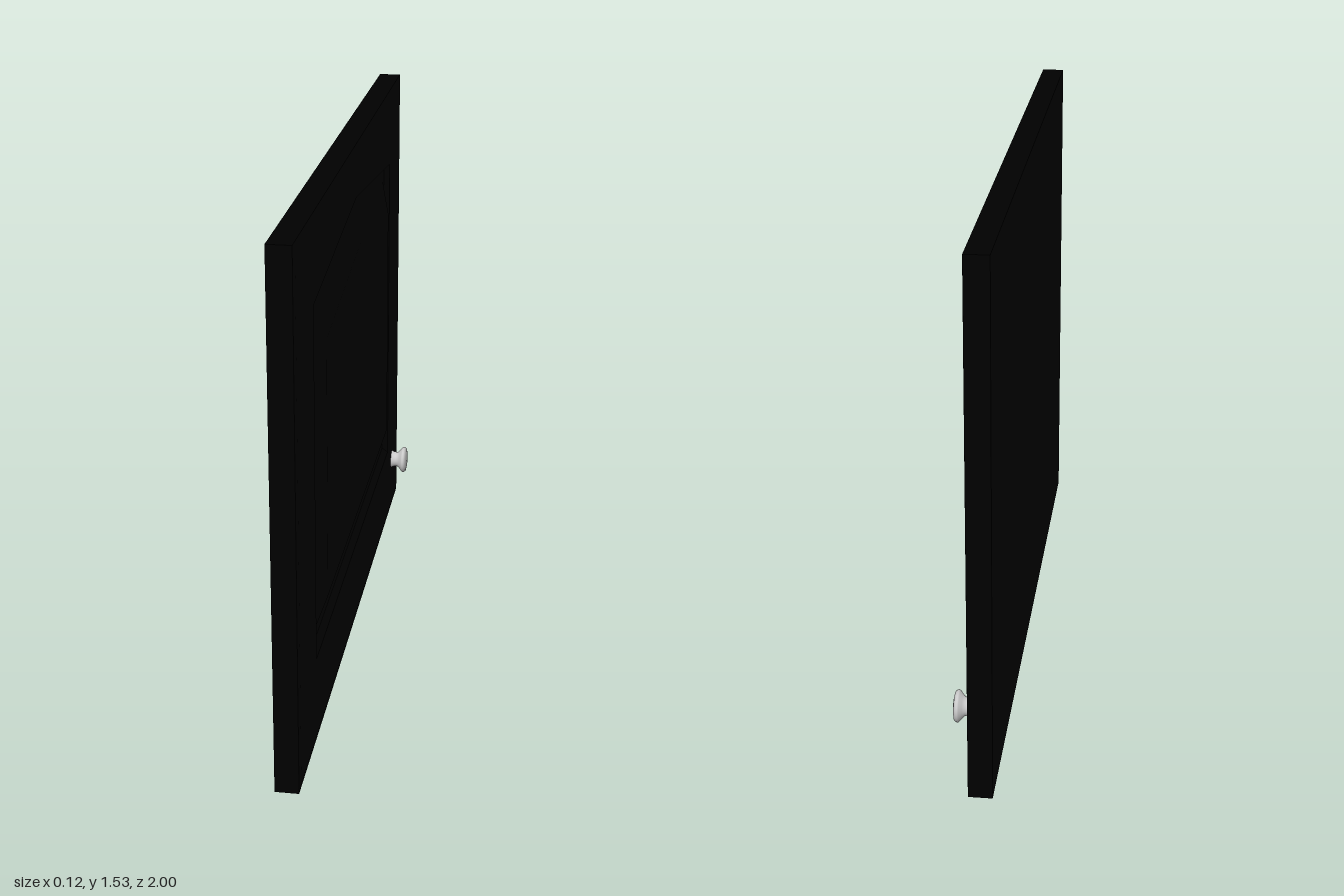
import * as THREE from 'three';

// Five-cornered outline with a peaked top edge, counter-clockwise seen from +x
function outline(x, halfWidth, bottom, shoulder, peak) {
  return [
    [x, bottom, halfWidth], [x, bottom, -halfWidth], [x, shoulder, -halfWidth],
    [x, peak, 0], [x, shoulder, halfWidth],
  ];
}

// Flat-shaded skin over successive outlines, closed at both ends
function skin(rings) {
  const pos = [];
  const tri = (a, b, c) => pos.push(...a, ...b, ...c);
  for (let r = 0; r < rings.length - 1; r++) {
    const a = rings[r], b = rings[r + 1];
    for (let i = 0; i < 5; i++) {
      const j = (i + 1) % 5;
      tri(a[i], a[j], b[j]);
      tri(a[i], b[j], b[i]);
    }
  }
  const back = rings[0], front = rings[rings.length - 1];
  for (let i = 1; i < 4; i++) {
    tri(back[0], back[i + 1], back[i]);
    tri(front[0], front[i], front[i + 1]);
  }
  const geometry = new THREE.BufferGeometry();
  geometry.setAttribute('position', new THREE.Float32BufferAttribute(pos, 3));
  geometry.computeVertexNormals();
  return geometry;
}

export function createModel() {
  const group = new THREE.Group();
  group.name = 'cabinetDoor';

  // Door: slab, eased front edge, groove and raised centre field
  const door = new THREE.Mesh(
    skin([
      outline(-0.065, 1, 0, 1.53, 1.53),
      outline(0.002, 1, 0, 1.53, 1.53),
      outline(0.005, 0.98, 0.02, 1.51, 1.51),
      outline(0.005, 0.73, 0.26, 1.29, 1.375),
      outline(-0.012, 0.715, 0.28, 1.275, 1.36),
      outline(-0.012, 0.69, 0.315, 1.24, 1.325),
      outline(0.005, 0.645, 0.36, 1.19, 1.275),
      outline(0.018, 0.61, 0.395, 1.155, 1.24),
    ]),
    new THREE.MeshStandardMaterial({ color: 0x000000 }),
  );
  door.name = 'doorPanel';
  group.add(door);

  // Knob: turned profile of radius and distance from the door face
  const profile = [
    [0.03, 0], [0.027, 0.006], [0.025, 0.016], [0.026, 0.023], [0.033, 0.03],
    [0.042, 0.037], [0.045, 0.041], [0.044, 0.046], [0.04, 0.051], [0.025, 0.054], [0, 0.055],
  ].map(([r, h]) => new THREE.Vector2(r, h));
  const knob = new THREE.Mesh(
    new THREE.LatheGeometry(profile, 32),
    new THREE.MeshStandardMaterial({ color: 0xcccccc }),
  );
  knob.name = 'knob';
  knob.rotation.z = -Math.PI / 2;
  knob.position.set(0.005, 0.185, -0.845);
  group.add(knob);

  return group;
}
